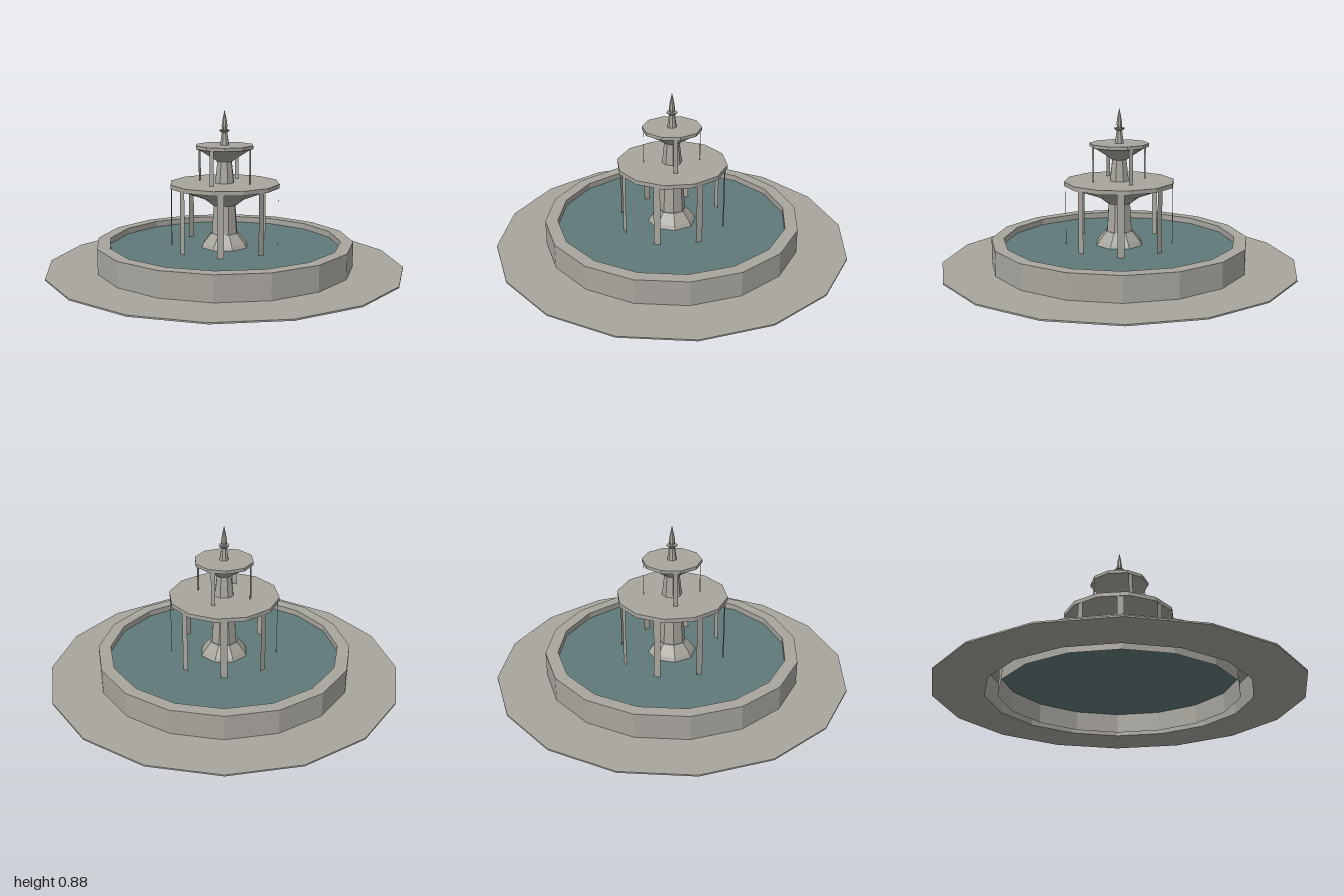
import * as THREE from 'three';

const stone = new THREE.MeshStandardMaterial({ color: 0xa8a59e, side: THREE.DoubleSide });
stone.name = 'stone';
const water = new THREE.MeshStandardMaterial({ color: 0x5f7a79, side: THREE.DoubleSide });
water.name = 'water';

const WATER_Y = 0.113;

// Faceted solid of revolution; profile is [radius, height] running up the outside
function turned(name, sides, profile, material = stone) {
  const points = profile.map(([r, y]) => new THREE.Vector2(r, y));
  const geometry = new THREE.LatheGeometry(points, sides, Math.PI / 2).toNonIndexed();
  geometry.computeVertexNormals();
  const mesh = new THREE.Mesh(geometry, material);
  mesh.name = name;
  return mesh;
}

// Ring of flat falling streams hanging under a bowl rim
function streams(name, count, radius, width, bottom, top) {
  const group = new THREE.Group();
  group.name = name;
  const geometry = new THREE.PlaneGeometry(width, top - bottom);
  for (let i = 0; i < count; i++) {
    const angle = ((i + 0.5) / count) * Math.PI * 2;
    const strip = new THREE.Mesh(geometry, stone);
    strip.name = 'stream';
    strip.position.set(radius * Math.sin(angle), (bottom + top) / 2, radius * Math.cos(angle));
    strip.rotation.y = angle;
    group.add(strip);
  }
  return group;
}

export function createModel() {
  const model = new THREE.Group();
  model.name = 'fountain';

  // Paving ring, open in the middle
  model.add(turned('paving', 16, [[0.72, 0], [1, 0], [1, 0.008], [0.72, 0.008]]));

  // Pool wall, open underneath, and its water
  model.add(turned('poolWall', 16, [[0.72, 0], [0.72, 0.147], [0.65, 0.147], [0.65, 0]]));
  model.add(turned('poolWater', 16, [[0.65, WATER_Y], [0, WATER_Y]], water));

  // Pedestal and lower column
  model.add(turned('pedestalFoot', 8, [[0.137, WATER_Y], [0.125, 0.135], [0.08, 0.19], [0, 0.19]]));
  model.add(turned('lowerColumn', 8, [[0.075, 0.18], [0.063, 0.37]]));

  // Lower bowl and its streams
  model.add(turned('lowerBowl', 12, [
    [0, 0.35], [0.07, 0.35], [0.115, 0.385], [0.28, 0.447],
    [0.31, 0.452], [0.31, 0.475], [0, 0.475],
  ]));
  model.add(streams('lowerStreams', 8, 0.3, 0.037, WATER_Y, 0.455));

  // Upper column, bowl and streams
  model.add(turned('upperColumn', 8, [[0.056, 0.475], [0.042, 0.6]]));
  model.add(turned('upperBowl', 10, [
    [0, 0.595], [0.045, 0.595], [0.07, 0.613], [0.14, 0.658],
    [0.165, 0.667], [0.165, 0.685], [0, 0.685],
  ]));
  model.add(streams('upperStreams', 4, 0.157, 0.024, 0.475, 0.668));

  // Finial: neck, small collar and spire
  model.add(turned('finialNeck', 8, [[0.026, 0.685], [0.016, 0.755]]));
  model.add(turned('finialCollar', 8, [[0.014, 0.752], [0.03, 0.765], [0.03, 0.77], [0, 0.77]]));
  model.add(turned('finialSpire', 8, [[0.013, 0.77], [0.017, 0.79], [0.011, 0.83], [0, 0.88]]));

  return model;
}
